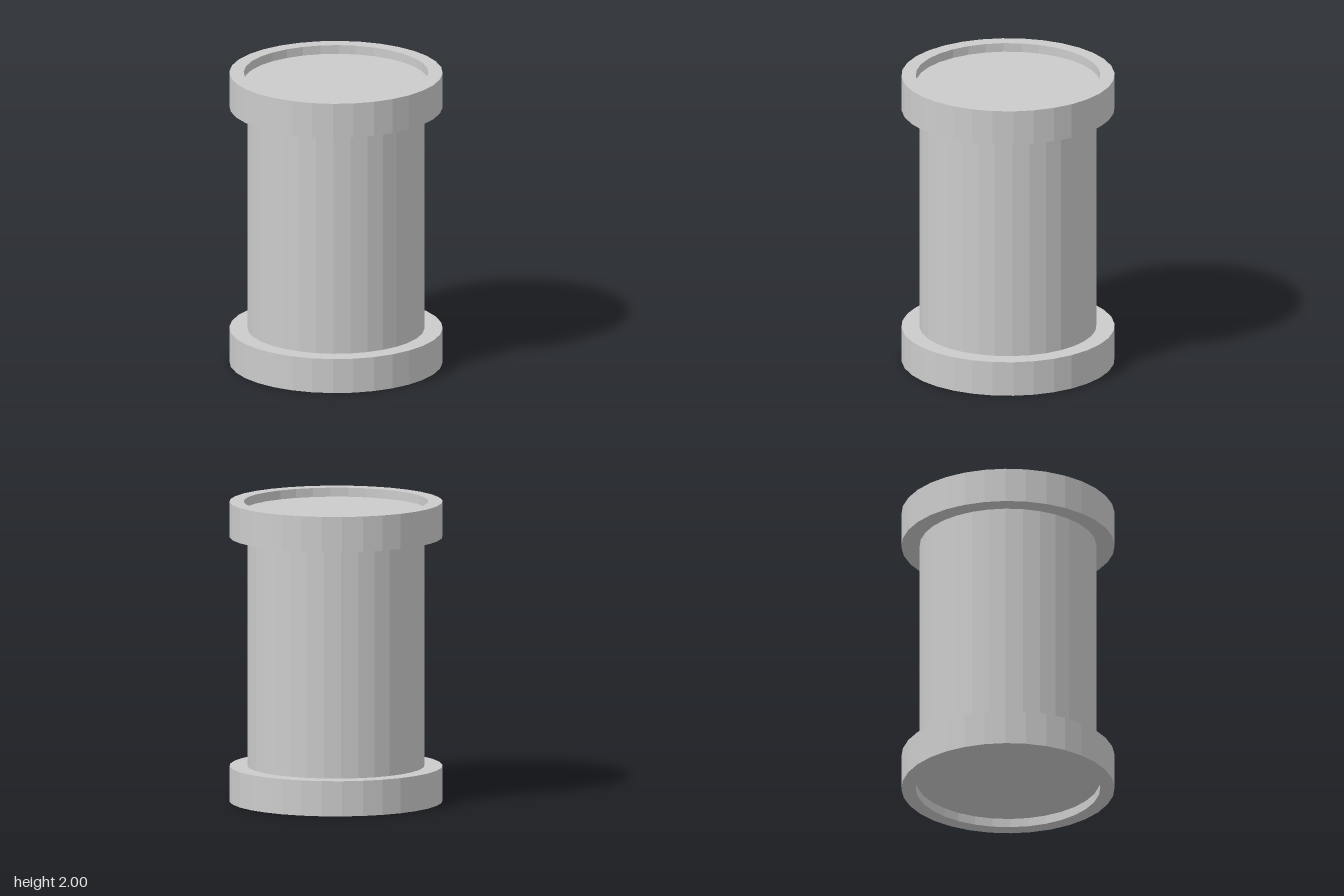
import * as THREE from 'three';

const SIDES = 32;
const HEIGHT = 2;
const CAP_H = 0.235;
const RECESS = 0.06;
const R_BODY = 0.585;
const R_CAP = 0.705;
const R_RECESS = 0.61;

export function createModel() {
  const group = new THREE.Group();
  const material = new THREE.MeshStandardMaterial({ color: 0xcccccc, flatShading: true });

  const add = (name, geometry) => {
    const mesh = new THREE.Mesh(geometry, material);
    mesh.name = name;
    group.add(mesh);
  };

  // Faceted barrel between the two caps
  const body = new THREE.CylinderGeometry(R_BODY, R_BODY, HEIGHT - 2 * CAP_H, SIDES, 1, true);
  body.translate(0, HEIGHT / 2, 0);
  add('body', body);

  // Cap section: recessed floor, recess wall, rim, outer wall, shoulder to the body
  const section = [
    [0, RECESS], [R_RECESS, RECESS], [R_RECESS, 0],
    [R_CAP, 0], [R_CAP, CAP_H], [R_BODY, CAP_H],
  ];
  const bottom = section.map(([r, y]) => new THREE.Vector2(r, y));
  // The top cap mirrors the bottom one, with its order reversed to face outward
  const top = section.map(([r, y]) => new THREE.Vector2(r, HEIGHT - y)).reverse();

  add('bottomCap', new THREE.LatheGeometry(bottom, SIDES));
  add('topCap', new THREE.LatheGeometry(top, SIDES));

  return group;
}
